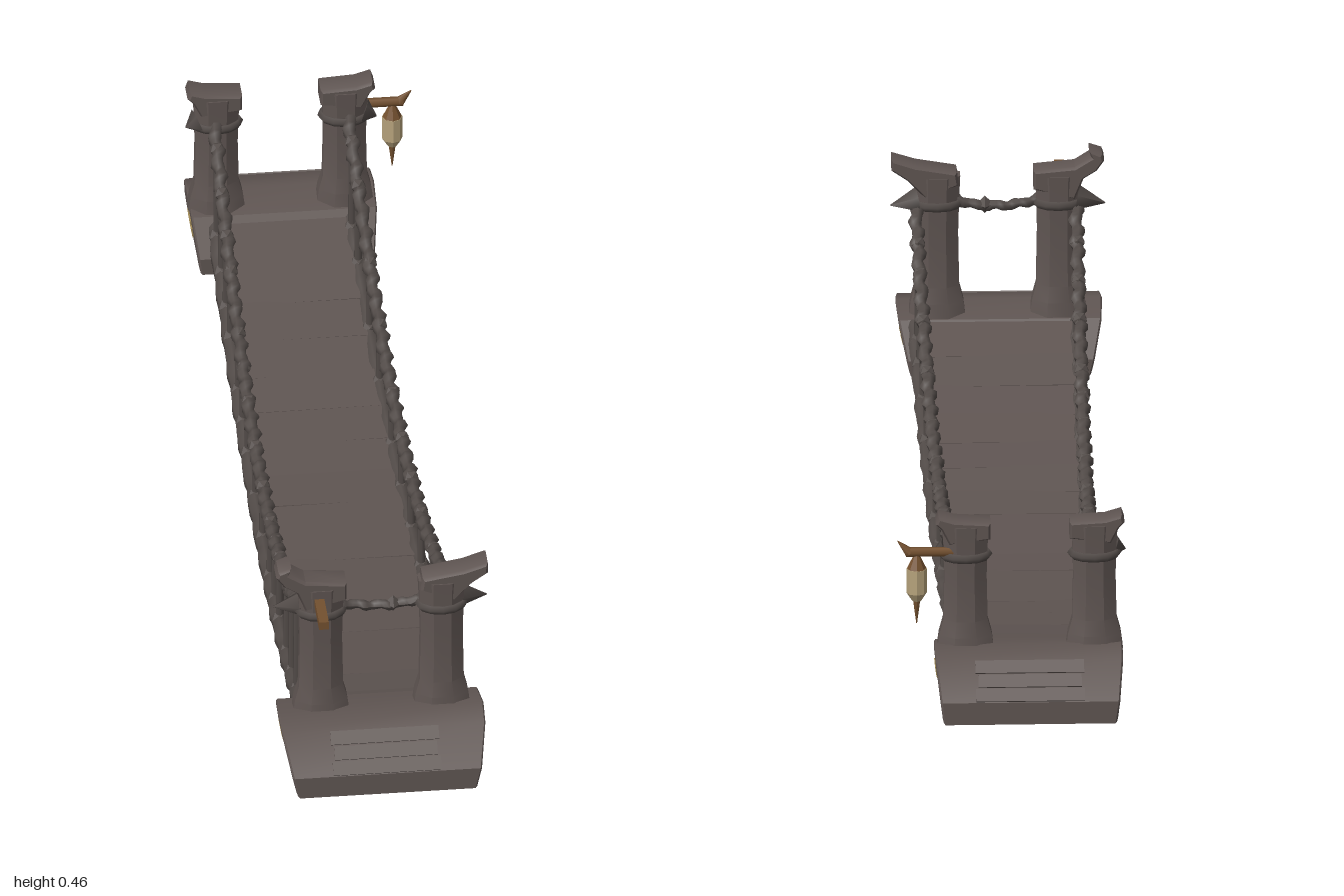
import * as THREE from 'three';
import { toCreasedNormals } from 'three/addons/utils/BufferGeometryUtils.js';

const mat = (name, color) => {
  const m = new THREE.MeshStandardMaterial({ color });
  m.name = name;
  return m;
};

export function createModel() {
  const stone = mat('weathered grey brown', 0x5f5552);
  const ropeMat = mat('dark rope', 0x524b48);
  const wood = mat('bracket wood', 0x73502f);
  const paper = mat('lantern cream', 0xb7a37c);
  const moss = mat('ochre patch', 0x9c8654);

  const model = new THREE.Group();
  const add = (name, geo, material, parent = model) => {
    const mesh = new THREE.Mesh(geo, material);
    mesh.name = name;
    parent.add(mesh);
    return mesh;
  };
  const creased = (g) => toCreasedNormals(g, 0.6);
  const V = (x, y, z) => new THREE.Vector3(x, y, z);

  // Sag curves of handrail and deck, and the slight widening toward the front
  const railY = (z) => 0.135 + 0.3 * (z + 0.02) ** 2;
  const deckY = (z) => 0.022 + 0.16 * (z + 0.02) ** 2;
  const railX = (side, z) => {
    const t = (z + 0.82) / 1.64;
    return side > 0 ? 0.103 + 0.027 * t : -0.145 - 0.02 * t;
  };

  // Lumpy twisted rope along a curve
  function rope(name, curve, r, n, lumps, amount, parent = model) {
    const sides = 7;
    const g = new THREE.TubeGeometry(curve, n, r, sides);
    const p = g.attributes.position;
    const v = new THREE.Vector3();
    for (let i = 0; i <= n; i++) {
      const c = curve.getPointAt(i / n);
      for (let j = 0; j <= sides; j++) {
        const k = i * (sides + 1) + j;
        const a = (j % sides) / sides * Math.PI * 2;
        const f = 1 + amount * Math.sin(i / n * lumps * Math.PI * 2 + a) + amount * 0.5 * Math.sin(i * 1.9);
        v.fromBufferAttribute(p, k).sub(c).multiplyScalar(f).add(c);
        p.setXYZ(k, v.x, v.y, v.z);
      }
    }
    g.computeVertexNormals();
    return add(name, g, ropeMat, parent);
  }

  // Rod between two points
  function rod(name, a, b, r0, r1, material, sides = 6) {
    const d = b.clone().sub(a);
    const m = add(name, new THREE.CylinderGeometry(r1, r0, d.length(), sides), material);
    m.position.copy(a).addScaledVector(d, 0.5);
    m.quaternion.setFromUnitVectors(V(0, 1, 0), d.normalize());
    return m;
  }

  // Abutment: ramp profile across the bridge, flaring outward toward its top
  const profile = [[1, 0.045], [1, 0.088], [0.935, 0.147], [0.88, 0.157], [0.81, 0.142], [0.765, 0.078], [0.765, 0.045]];
  function abutment(end) {
    const group = new THREE.Group();
    group.name = end > 0 ? 'frontAbutment' : 'backAbutment';
    const shape = new THREE.Shape(profile.map(([z, y]) => new THREE.Vector2(z * end, y)));
    const g = new THREE.ExtrudeGeometry(shape, { depth: 0.976, bevelThickness: 0.012, bevelSize: 0.01, bevelOffset: -0.01, bevelSegments: 2 });
    g.translate(0, 0, -0.488).rotateY(-Math.PI / 2);
    const cx = end > 0 ? -0.024 : -0.018;
    const half = (y) => (end > 0 ? 0.166 : 0.16) + (end > 0 ? 0.23 : 0.13) * (y - 0.045);
    const p = g.attributes.position;
    for (let i = 0; i < p.count; i++) p.setX(i, cx + p.getX(i) * 2 * half(p.getY(i)));
    g.computeVertexNormals();
    add('abutmentBlock', creased(g), stone, group);
    // Ramp planks
    for (let i = 0; i < 3; i++) {
      const t = (i + 0.5) / 3;
      const plank = add('rampPlank', new THREE.BoxGeometry(0.2 - 0.01 * (i % 2), 0.006, 0.026), stone, group);
      plank.position.set(cx, 0.088 + 0.059 * t, end * (1 - 0.065 * t));
      plank.rotation.x = end * Math.atan2(0.059, 0.065);
    }
    // Ochre patches on both flanks
    for (const s of [-1, 1]) {
      for (let i = 0; i < 3; i++) {
        const y = 0.093 + i * 0.009;
        const patch = add('flankPatch', new THREE.BoxGeometry(0.005, 0.009, 0.055 - 0.01 * Math.abs(i - 1)), moss, group);
        patch.position.set(cx + s * half(y), y, end * (0.855 + 0.006 * (i - 1)));
        patch.rotation.z = -s * 0.2;
      }
    }
    model.add(group);
  }
  abutment(1);
  abutment(-1);

  // Gate posts with carved horned caps
  const hornHook = [[-0.046, 0.39], [0.03, 0.37], [0.046, 0.41], [0.07, 0.425], [0.084, 0.445], [0.08, 0.457], [0.056, 0.465], [0.06, 0.452], [0.03, 0.433], [-0.046, 0.426]];
  const hornWedge = [[-0.04, 0.4], [0.022, 0.375], [0.055, 0.41], [0.084, 0.43], [0.084, 0.452], [0.04, 0.438], [-0.036, 0.425]];
  const hornStub = [[-0.046, 0.36], [0.03, 0.35], [0.045, 0.38], [0.055, 0.39], [0.05, 0.405], [0.02, 0.396], [-0.046, 0.392]];
  function post(name, x, z, top, horn, side) {
    const group = new THREE.Group();
    group.name = name;
    const h = top - 0.14;
    const pts = [[0.054, 0], [0.05, 0.03], [0.042, 0.06], [0.04, h * 0.6], [0.042, h * 0.85], [0.044, h], [0, h]];
    const g = new THREE.LatheGeometry(pts.map(([r, y]) => new THREE.Vector2(r, y)), 8);
    g.rotateY(Math.PI / 8).scale(1.05, 1, 0.72);
    add('postShaft', creased(g), stone, group).position.y = 0.14;
    const shape = new THREE.Shape(horn.map(([u, y]) => new THREE.Vector2(u * side, y)));
    const cap = new THREE.ExtrudeGeometry(shape, { depth: 0.04, bevelThickness: 0.007, bevelSize: 0.004, bevelOffset: -0.004, bevelSegments: 1 });
    add('hornedCap', creased(cap.translate(0, 0, -0.02)), stone, group);
    group.position.set(x, 0, z);
    model.add(group);
  }
  post('frontRightPost', -0.132, 0.848, 0.415, hornHook, -1);
  post('frontLeftPost', 0.091, 0.848, 0.415, hornWedge, 1);
  post('backRightPost', -0.14, -0.85, 0.385, hornStub, -1);
  post('backLeftPost', 0.097, -0.85, 0.385, hornStub, 1);

  // Rope bindings and pointed knots on the posts
  for (const [x, z, y, s] of [[-0.132, 0.848, 0.36, -1], [0.091, 0.848, 0.36, 1], [-0.14, -0.85, 0.325, -1], [0.097, -0.85, 0.325, 1]]) {
    const loop = add('postBinding', new THREE.TorusGeometry(0.041, 0.009, 5, 12), ropeMat);
    loop.rotation.x = Math.PI / 2;
    loop.scale.y = 0.75;
    loop.position.set(x, y, z);
    const out = z > 0 ? 0.086 : 0.058;
    rod('bindingKnot', V(x + s * 0.035, y + 0.008, z - Math.sign(z) * 0.01), V(x + s * out, y, z - Math.sign(z) * 0.015), 0.025, 0.001, ropeMat, 5);
  }

  // Rope across the front gate
  const gate = new THREE.CatmullRomCurve3([V(-0.1, 0.367, 0.845), V(-0.06, 0.358, 0.84), V(0, 0.355, 0.84), V(0.035, 0.36, 0.84), V(0.06, 0.372, 0.845)]);
  rope('gateRope', gate, 0.009, 24, 4, 0.25);
  add('gateKnot', new THREE.OctahedronGeometry(0.017), ropeMat).position.set(0.003, 0.357, 0.84);

  // Deck boards following the sag
  const boards = 16;
  for (let i = 0; i < boards; i++) {
    const z = -0.8 + 1.6 * (i + 0.5) / boards;
    const a = railX(-1, z), b = railX(1, z);
    const board = add('deckBoard', new THREE.BoxGeometry(b - a + 0.008 * (i % 2), 0.022, 0.108), stone);
    board.position.set((a + b) / 2, deckY(z), z);
    board.rotation.x = -Math.atan(0.32 * (z + 0.02)) + 0.02 * Math.sin(i * 2.4);
    board.rotation.z = 0.008 * Math.sin(i * 1.7);
  }

  // Side ropes, handrails and balusters
  const balusters = {
    1: [0.753, 0.68, 0.56, 0.415, 0.24, 0.095, -0.045, -0.185, -0.37, -0.52, -0.69, -0.78],
    '-1': [0.753, 0.66, 0.56, 0.415, 0.33, 0.24, 0.095, -0.045, -0.185, -0.28, -0.37, -0.52, -0.6, -0.69, -0.78],
  };
  for (const side of [-1, 1]) {
    const line = (fy, zEnd) => new THREE.CatmullRomCurve3(
      Array.from({ length: 21 }, (_, i) => {
        const z = zEnd * (i / 10 - 1);
        return V(railX(side, z), fy(z), z);
      }));
    rope('handrailRope', line(railY, 0.835), 0.0115, 200, 34, 0.3);
    rope('deckEdgeRope', line(deckY, 0.81), 0.016, 100, 16, 0.1);
    for (const z of balusters[side]) {
      const x = railX(side, z);
      rod('baluster', V(x, deckY(z), z), V(x, railY(z), z), 0.008, 0.007, ropeMat);
      add('railKnot', new THREE.IcosahedronGeometry(0.015), ropeMat).position.set(x, railY(z), z);
      add('deckKnot', new THREE.IcosahedronGeometry(0.017), ropeMat).position.set(x, deckY(z) + 0.005, z);
    }
  }

  // Wooden peg on the front right post
  const peg = add('frontPeg', new THREE.BoxGeometry(0.018, 0.016, 0.13), wood);
  peg.position.set(-0.137, 0.391, 0.89);

  // Lantern arm with upturned tip
  const lz = -0.865, lx = 0.187;
  rod('lanternArm', V(0.11, 0.335, lz), V(0.207, 0.335, lz), 0.009, 0.009, wood);
  rod('lanternArmTip', V(0.2, 0.334, lz), V(0.222, 0.357, lz), 0.01, 0.001, wood);

  // Hanging lantern: cap, paper body, pointed tail
  const lantern = new THREE.Group();
  lantern.name = 'lantern';
  lantern.position.set(lx, 0, lz);
  const ring = (name, r0, y0, r1, y1, m) => {
    const g = new THREE.CylinderGeometry(r1, r0, y1 - y0, 8);
    add(name, creased(g), m, lantern).position.y = (y0 + y1) / 2;
  };
  ring('lanternCap', 0.018, 0.303, 0.004, 0.332, wood);
  ring('lanternBody', 0.019, 0.256, 0.019, 0.303, paper);
  ring('lanternLowerBody', 0.009, 0.24, 0.019, 0.256, paper);
  ring('lanternTail', 0.0008, 0.195, 0.007, 0.243, wood);
  model.add(lantern);

  return model;
}
